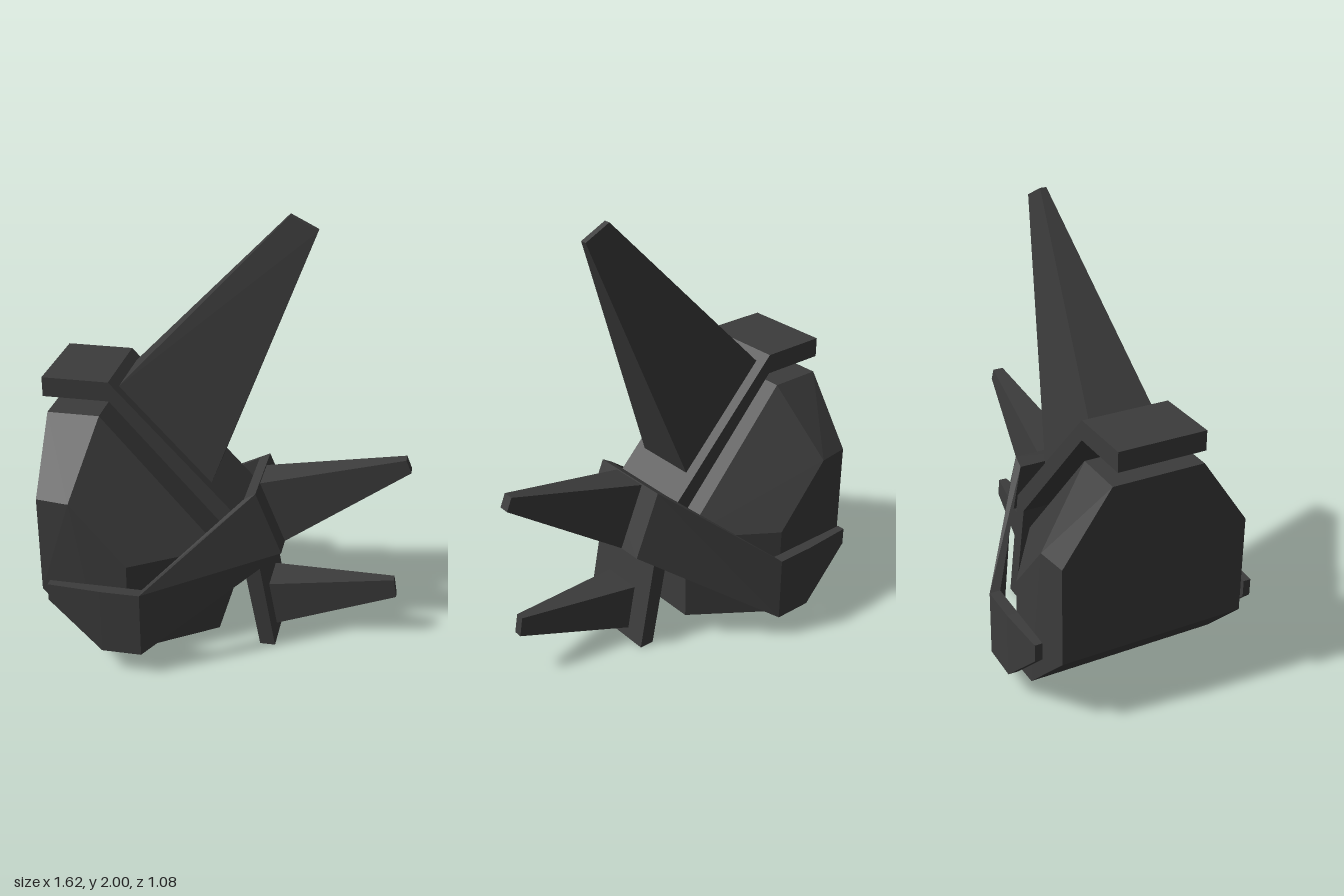
import * as THREE from 'three';
import { ConvexGeometry } from 'three/addons/geometries/ConvexGeometry.js';

const material = new THREE.MeshStandardMaterial({ color: 0x3c3c3c, flatShading: true });

function part(name, geometry) {
  const mesh = new THREE.Mesh(geometry, material);
  mesh.name = name;
  return mesh;
}

// Convex solid from points [x, y, halfWidth], mirrored across z
function mirroredHull(points) {
  const all = [];
  for (const [x, y, z] of points) {
    all.push(new THREE.Vector3(x, y, z), new THREE.Vector3(x, y, -z));
  }
  return new ConvexGeometry(all);
}

// Closed loft through four-cornered sections
function loft(sections) {
  const pos = [];
  const quad = (a, b, c, d) => pos.push(...a, ...b, ...c, ...a, ...c, ...d);
  for (let i = 0; i < sections.length - 1; i++) {
    const s = sections[i], t = sections[i + 1];
    for (let j = 0; j < 4; j++) {
      const k = (j + 1) % 4;
      quad(s[j], s[k], t[k], t[j]);
    }
  }
  quad(...[...sections[0]].reverse());
  quad(...sections[sections.length - 1]);
  const geometry = new THREE.BufferGeometry();
  geometry.setAttribute('position', new THREE.Float32BufferAttribute(pos, 3));
  geometry.computeVertexNormals();
  return geometry;
}

export function createModel() {
  const group = new THREE.Group();
  group.name = 'hornedHelmet';

  // Faceted head: narrow middle ridge, wide cheeks
  group.add(part('head', mirroredHull([
    [-0.79, 1.11, 0.21], [-0.555, 1.11, 0.21], [-0.02, 0.5, 0.21], [-0.02, 0.07, 0.21],
    [-0.79, 0.79, 0.43], [-0.64, 0.79, 0.45], [-0.39, 0.5, 0.45], [-0.39, 0.06, 0.45],
    [-0.53, 0.07, 0.45], [-0.79, 0.33, 0.43],
  ])));

  // Bent band running over the crown and down to the chin
  const profile = new THREE.Shape([
    [-0.81, 1.18], [-0.51, 1.18], [0.065, 0.54], [0.17, 0], [0.24, 0],
    [0.13, 0.59], [-0.51, 1.27], [-0.81, 1.27],
  ].map(([x, y]) => new THREE.Vector2(x, y)));
  const band = new THREE.ExtrudeGeometry(profile, { depth: 0.4, bevelEnabled: false });
  band.translate(0, 0, -0.2);
  group.add(part('crownBand', band));

  // Wrap-around visor: outer top, outer bottom, inner bottom, inner top
  const side = [
    [[-0.73, 0.42, 0.525], [-0.73, 0.34, 0.525], [-0.73, 0.34, 0.49], [-0.73, 0.42, 0.49]],
    [[-0.49, 0.42, 0.54], [-0.49, 0.11, 0.54], [-0.49, 0.11, 0.49], [-0.49, 0.42, 0.49]],
    [[-0.31, 0.42, 0.54], [-0.31, 0.11, 0.54], [-0.31, 0.11, 0.49], [-0.31, 0.42, 0.49]],
    [[0.14, 0.79, 0.2], [0.26, 0.5, 0.2], [0.21, 0.47, 0.2], [0.09, 0.76, 0.2]],
  ];
  const otherSide = side.map((s) => s.map(([x, y, z]) => [x, y, -z])).reverse();
  group.add(part('visor', loft([...side, ...otherSide])));

  // Tapered horns on the crown, visor and chin
  group.add(part('crownHorn', mirroredHull([
    [-0.48, 1.23, 0.15], [-0.07, 0.79, 0.15], [0.24, 2, 0.015], [0.36, 1.94, 0.015],
  ])));
  group.add(part('visorHorn', mirroredHull([
    [0.14, 0.785, 0.09], [0.26, 0.5, 0.09], [0.78, 0.93, 0.025], [0.805, 0.87, 0.025],
  ])));
  group.add(part('chinHorn', mirroredHull([
    [0.19, 0.26, 0.095], [0.23, 0.05, 0.095], [0.76, 0.305, 0.02], [0.775, 0.215, 0.02],
  ])));

  return group;
}
